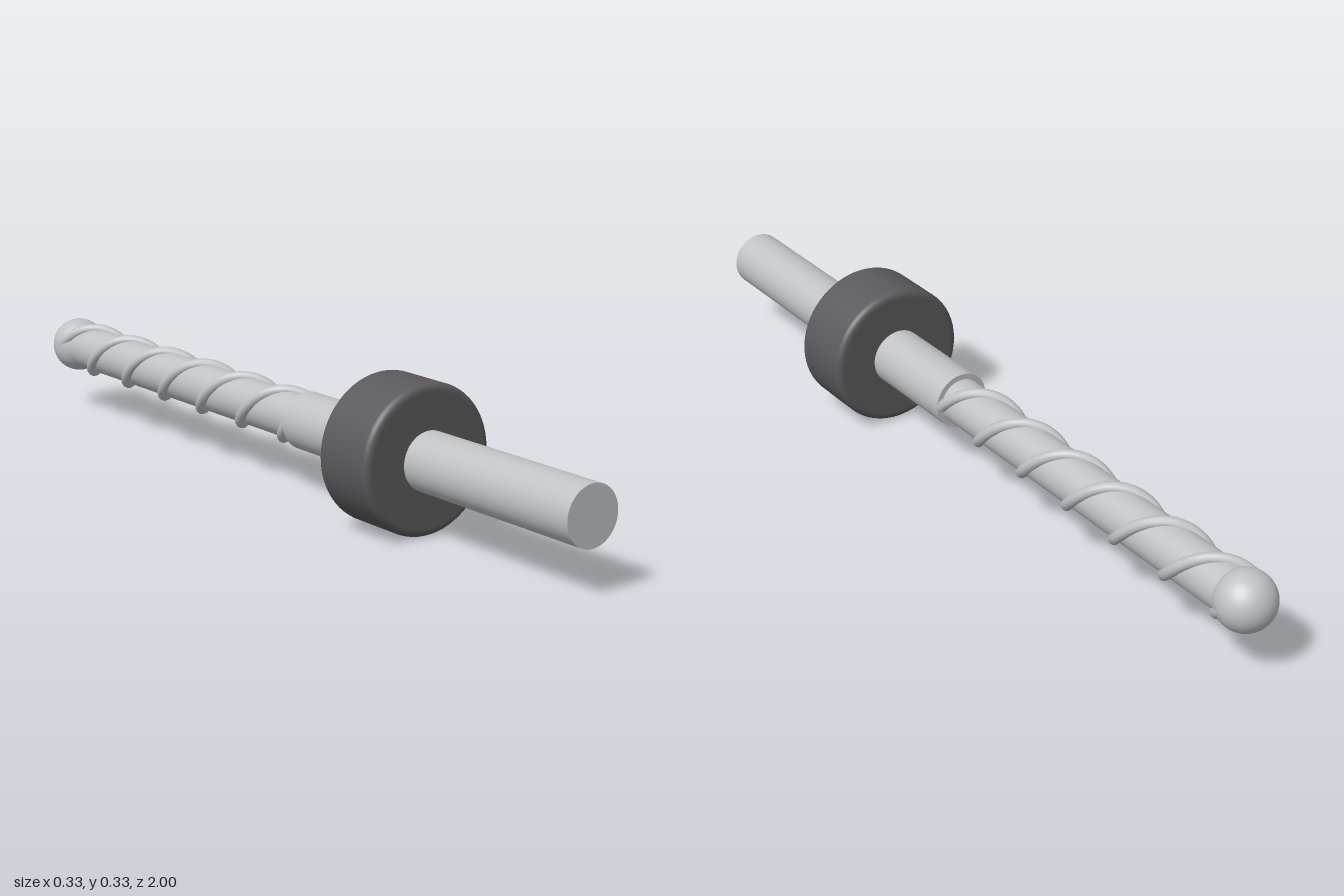
import * as THREE from 'three';

const AXIS_Y = 0.167; // height of the tool axis

// Spiral along -z, three full turns
class Spiral extends THREE.Curve {
  constructor(radius, zStart, length, turns, phase) {
    super();
    Object.assign(this, { radius, zStart, length, turns, phase });
  }
  getPoint(t, target = new THREE.Vector3()) {
    const a = this.phase + t * this.turns * Math.PI * 2;
    return target.set(this.radius * Math.cos(a), this.radius * Math.sin(a), this.zStart - t * this.length);
  }
}

export function createModel() {
  const steel = new THREE.MeshStandardMaterial({ color: 0xc0c1c3 });
  steel.name = 'steel';
  const darkGrey = new THREE.MeshStandardMaterial({ color: 0x5a5a5c });
  darkGrey.name = 'darkGrey';

  const tool = new THREE.Group();
  tool.name = 'rotaryBit';
  tool.position.y = AXIS_Y;

  const add = (name, geometry, material) => {
    const mesh = new THREE.Mesh(geometry, material);
    mesh.name = name;
    tool.add(mesh);
    return mesh;
  };

  // Round bar along z between two depths
  const bar = (name, radius, zBack, zFront) => {
    const g = new THREE.CylinderGeometry(radius, radius, zFront - zBack, 48);
    g.rotateX(Math.PI / 2);
    g.translate(0, 0, (zFront + zBack) / 2);
    return add(name, g, steel);
  };
  bar('shank', 0.0665, 0.067, 1);
  bar('core', 0.0533, -0.933, 0.07);

  // Ball tip
  add('ballTip', new THREE.SphereGeometry(0.0667, 40, 28).translate(0, 0, -0.933), steel);

  // Two raised spiral edges, half a turn apart
  for (const [name, phase] of [['spiralEdgeA', 0], ['spiralEdgeB', Math.PI]]) {
    const path = new Spiral(0.0533, 0.067, 1, 3, phase);
    add(name, new THREE.TubeGeometry(path, 180, 0.0133, 12), steel);
  }

  // Depth collar with rounded rims
  const R = 0.167, half = 0.0833, bevel = 0.016, inner = 0.06;
  const profile = [new THREE.Vector2(inner, -half), new THREE.Vector2(R - bevel - 0.002, -half)];
  for (const side of [-1, 1]) {
    for (let i = 0; i <= 6; i++) {
      const a = (side < 0 ? i - 6 : i) / 6 * Math.PI / 2;
      profile.push(new THREE.Vector2(R - bevel + bevel * Math.cos(a), side * (half - bevel) + bevel * Math.sin(a)));
    }
  }
  profile.push(new THREE.Vector2(R - bevel - 0.002, half), new THREE.Vector2(inner, half));
  const collar = new THREE.LatheGeometry(profile, 64);
  collar.rotateX(Math.PI / 2);
  collar.translate(0, 0, 0.417);
  add('depthCollar', collar, darkGrey);

  const model = new THREE.Group();
  model.name = 'model';
  model.add(tool);
  return model;
}
